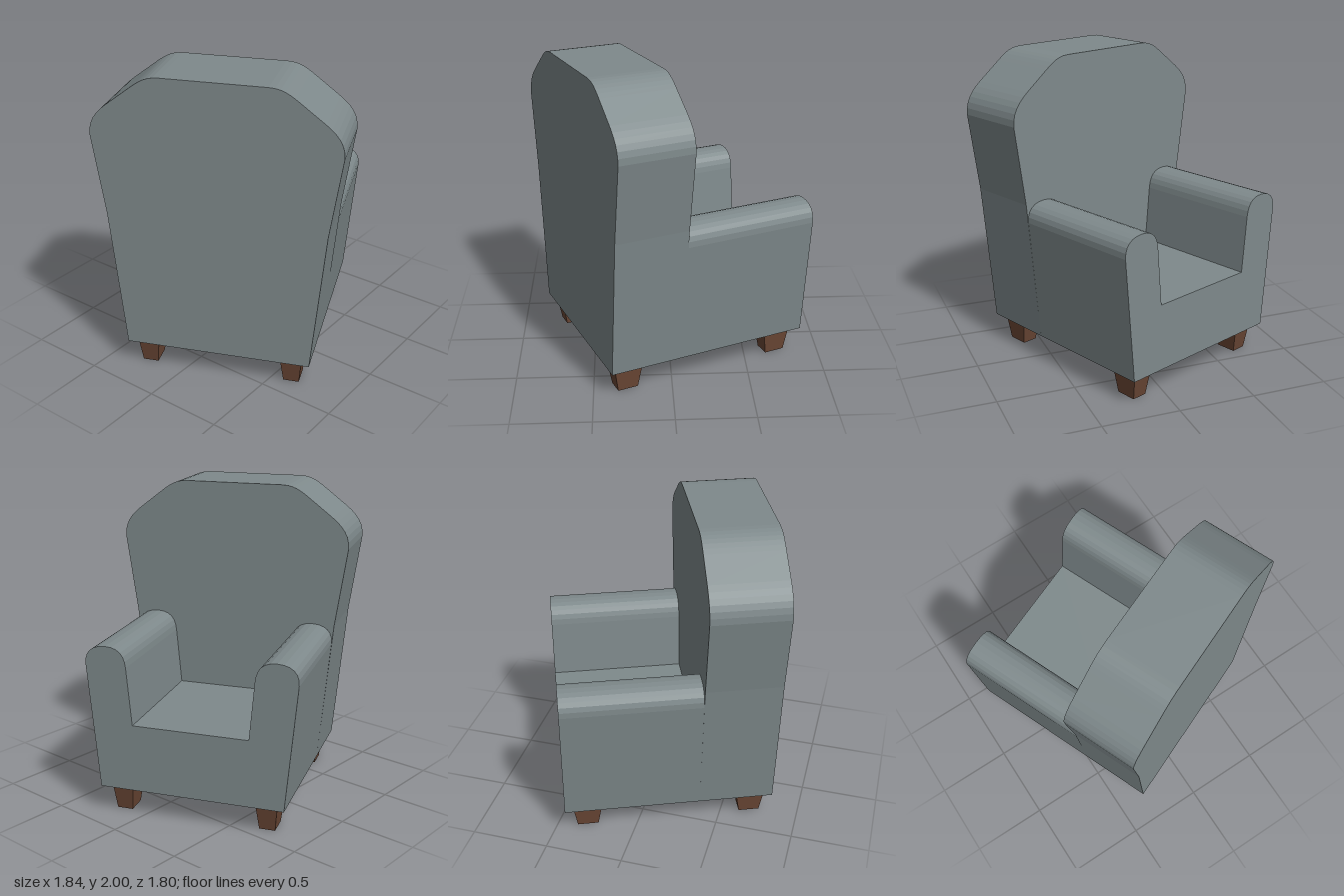
import * as THREE from 'three';

const fabric = new THREE.MeshStandardMaterial({ color: 0x7f8a8c });
const wood = new THREE.MeshStandardMaterial({ color: 0x6b4735 });

const BASE = 0.175;                          // underside of the body
const FRONT = -0.714, MID = 0.163, BACK = 0.644; // depth stations, back is +z

function extrude(name, shape, z0, z1, curveSegments) {
  const geometry = new THREE.ExtrudeGeometry(shape, { depth: z1 - z0, bevelEnabled: false, curveSegments });
  const mesh = new THREE.Mesh(geometry, fabric);
  mesh.name = name;
  mesh.position.z = z0;
  return mesh;
}

// Flared backrest with rounded shoulders
function backrestShape() {
  const s = new THREE.Shape();
  s.moveTo(-0.596, BASE);
  s.lineTo(0.596, BASE);
  s.lineTo(0.685, 1.1);
  s.lineTo(0.761, 1.61);
  s.bezierCurveTo(0.765, 1.7, 0.72, 1.755, 0.65, 1.81);
  s.lineTo(0.5, 1.925);
  s.bezierCurveTo(0.44, 1.97, 0.4, 2, 0.32, 2);
  s.lineTo(-0.32, 2);
  s.bezierCurveTo(-0.4, 2, -0.44, 1.97, -0.5, 1.925);
  s.lineTo(-0.65, 1.81);
  s.bezierCurveTo(-0.72, 1.755, -0.765, 1.7, -0.761, 1.61);
  s.lineTo(-0.685, 1.1);
  s.closePath();
  return s;
}

// Leaning armrest with a rounded top; m = 1 or -1 picks the side
function armShape(m) {
  const s = new THREE.Shape();
  s.moveTo(m * 0.373, BASE);
  s.lineTo(m * 0.596, BASE);
  s.lineTo(m * 0.672, 0.98);
  s.bezierCurveTo(m * 0.678, 1.06, m * 0.63, 1.105, m * 0.54, 1.105);
  s.bezierCurveTo(m * 0.45, 1.105, m * 0.415, 1.06, m * 0.407, 0.98);
  s.lineTo(m * 0.373, 0.61);
  s.closePath();
  return s;
}

// Block leg tapering towards the floor
function legGeometry() {
  const g = new THREE.BoxGeometry(0.139, BASE, 0.193).toNonIndexed();
  const p = g.attributes.position;
  for (let i = 0; i < p.count; i++) {
    if (p.getY(i) < 0) {
      p.setX(i, p.getX(i) * 0.73);
      p.setZ(i, p.getZ(i) * 0.7);
    }
  }
  g.computeVertexNormals();
  return g;
}

export function createModel() {
  const chair = new THREE.Group();
  chair.name = 'armchair';

  chair.add(extrude('backrest', backrestShape(), MID, BACK, 6));

  const seat = new THREE.Mesh(new THREE.BoxGeometry(0.746, 0.61 - BASE, MID - FRONT), fabric);
  seat.name = 'seat';
  seat.position.set(0, (0.61 + BASE) / 2, (FRONT + MID) / 2);
  chair.add(seat);

  // The chair faces its local -z, so its own left is local -x
  const leg = legGeometry();
  for (const [side, m] of [['left', -1], ['right', 1]]) {
    chair.add(extrude(side + 'Armrest', armShape(m), FRONT, MID, 6));
    for (const [end, z] of [['Front', -0.565], ['Back', 0.509]]) {
      const mesh = new THREE.Mesh(leg, wood);
      mesh.name = side + end + 'Leg';
      mesh.position.set(m * 0.472, BASE / 2, z);
      chair.add(mesh);
    }
  }

  // The whole chair stands turned
  chair.rotation.y = THREE.MathUtils.degToRad(22.6);
  chair.position.set(-0.03, 0, 0.0125);

  const model = new THREE.Group();
  model.name = 'model';
  model.add(chair);
  return model;
}
